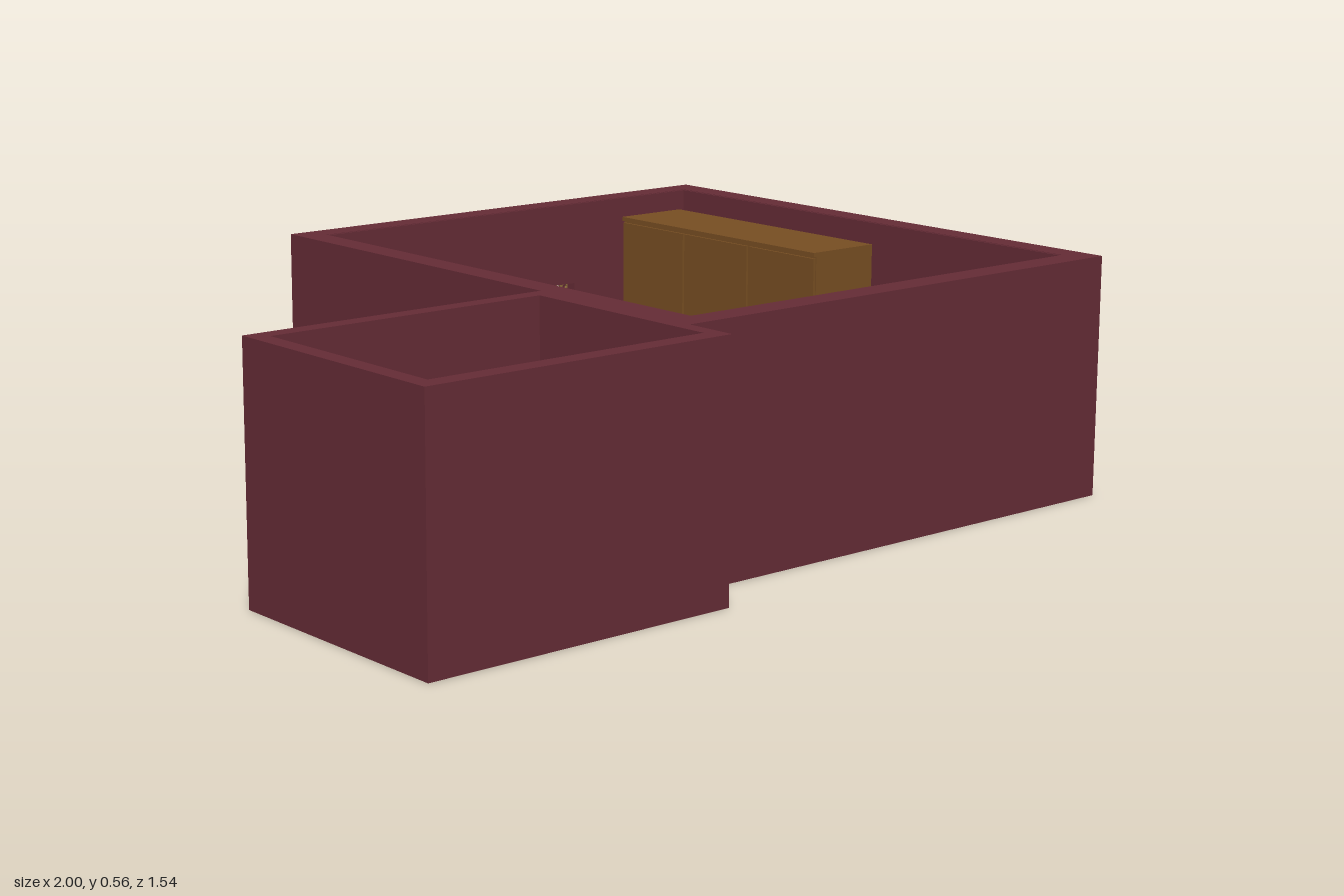
import * as THREE from 'three';

const mat = (color) => new THREE.MeshStandardMaterial({ color });
const M = {
  wall: mat(0x642b35), base: mat(0x2c1c1f), plank: mat(0x75390f), gap: mat(0x2e1706),
  wood: mat(0x764d22), darkWood: mat(0x442c14), chair: mat(0x6a3310), rug: mat(0x686868),
  bed: mat(0x7c7f48), tile: mat(0x0d0d0d), white: mat(0xb4b4b4), mat: mat(0x79735f),
  metal: mat(0x444444), cloth: mat(0x8a4fd0), lattice: mat(0x8a6a3a), cup: mat(0x999999),
};
const H = 0.56, DOOR = [0.35, 0.56], DOOR_H = 0.36;

// Box given by its min and max along each axis
function box(parent, name, m, x0, x1, y0, y1, z0, z1) {
  const b = new THREE.Mesh(new THREE.BoxGeometry(x1 - x0, y1 - y0, z1 - z0), m);
  b.position.set((x0 + x1) / 2, (y0 + y1) / 2, (z0 + z1) / 2);
  b.name = name;
  parent.add(b);
  return b;
}

function group(parent, name) {
  const g = new THREE.Group();
  g.name = name;
  parent.add(g);
  return g;
}

const poly = (pts) => new THREE.Shape(pts.map(([x, y]) => new THREE.Vector2(x, y)));
const rect = (x0, y0, x1, y1) => poly([[x0, y0], [x1, y0], [x1, y1], [x0, y1]]);

function extrude(parent, name, m, shape, depth) {
  const mesh = new THREE.Mesh(new THREE.ExtrudeGeometry(shape, { depth, bevelEnabled: false, curveSegments: 6 }), m);
  mesh.name = name;
  parent.add(mesh);
  return mesh;
}

// Wall running along x, with an optional window [x0, y0, x1, y1]
function wallX(parent, name, x0, x1, z0, z1, win) {
  const s = rect(x0, 0, x1, H);
  if (win) s.holes.push(rect(...win));
  extrude(parent, name, M.wall, s, z1 - z0).position.z = z0;
}

// Wall running along z, with an optional doorway
function wallZ(parent, name, x0, x1, z0, z1, door) {
  const [a, b] = DOOR;
  const s = poly(door
    ? [[z0, 0], [a, 0], [a, DOOR_H], [b, DOOR_H], [b, 0], [z1, 0], [z1, H], [z0, H]]
    : [[z0, 0], [z1, 0], [z1, H], [z0, H]]);
  const w = extrude(parent, name, M.wall, s, x1 - x0);
  w.rotation.y = -Math.PI / 2;
  w.position.x = x1;
}

// Chest with notched side panels and a stack of drawers; dir is the z side of the fronts
function chest(parent, name, x0, x1, z0, z1, h, dir) {
  const g = group(parent, name), t = 0.01, n = 3, foot = 0.03;
  const side = poly([[z0, 0], [z0 + 0.015, 0], [z0 + 0.03, foot], [z1 - 0.03, foot],
    [z1 - 0.015, 0], [z1, 0], [z1, h - t], [z0, h - t]]);
  for (const x of [x0 + t, x1]) {
    const p = extrude(g, 'sidePanel', M.wood, side, t);
    p.rotation.y = -Math.PI / 2;
    p.position.x = x;
  }
  box(g, 'top', M.wood, x0, x1, h - t, h, z0, z1);
  box(g, 'carcass', M.darkWood, x0 + t, x1 - t, foot, h - t, z0 + 0.012, z1 - 0.012);
  const step = (h - t - foot) / n, zf = dir > 0 ? z1 - 0.012 : z0 + 0.012;
  for (let i = 0; i < n; i++) {
    const y = foot + i * step;
    box(g, 'drawerFront', M.wood, x0 + t, x1 - t, y + 0.003, y + step - 0.009, Math.min(zf, zf + dir * 0.01), Math.max(zf, zf + dir * 0.01));
    const knob = new THREE.Mesh(new THREE.SphereGeometry(0.005, 8, 6), M.darkWood);
    knob.position.set((x0 + x1) / 2, y + step / 2, zf + dir * 0.012);
    knob.name = 'drawerKnob';
    g.add(knob);
  }
}

function addWalls(root) {
  const g = group(root, 'walls');
  wallX(g, 'bedroomBackWall', -0.25, 1, -0.775, -0.715, [0.24, 0.125, 0.57, 0.355]);
  wallX(g, 'bedroomFrontWall', -0.25, 1, 0.58, 0.645);
  wallZ(g, 'entranceWall', 0.94, 1, -0.715, 0.58, true);
  wallZ(g, 'bedroomSideWall', -0.25, -0.19, -0.715, 0.58, true);
  wallX(g, 'bathroomBackWall', -1, -0.25, 0.17, 0.21);
  wallX(g, 'bathroomFrontWall', -1, -0.25, 0.725, 0.77);
  wallZ(g, 'bathroomOuterWall', -1, -0.96, 0.21, 0.725);
  wallZ(g, 'bathroomDoorWall', -0.285, -0.25, 0.21, 0.725, true);
  // Dark skirting at the foot and a raised band at the head of the bedroom walls
  const t = 0.005;
  for (const [name, m, y0, y1, zEnd] of [['skirting', M.base, 0.01, 0.12, 0.35], ['topBand', M.wall, 0.5, H - 0.001, 0.58]]) {
    box(g, name, m, -0.19, 0.94, y0, y1, -0.715, -0.715 + t);
    box(g, name, m, -0.19, 0.94, y0, y1, 0.58 - t, 0.58);
    box(g, name, m, -0.19, -0.19 + t, y0, y1, -0.71, zEnd);
    box(g, name, m, 0.94 - t, 0.94, y0, y1, -0.71, zEnd);
  }
  // Lattice screen in the window
  const s = rect(0.24, 0.135, 0.57, 0.355), nx = 16, ny = 10, cx = 0.33 / nx, cy = 0.22 / ny;
  for (let i = 0; i < nx; i++) for (let j = 0; j < ny; j++) {
    const x = 0.24 + (i + 0.5) * cx, y = 0.135 + (j + 0.5) * cy, r = 0.008;
    s.holes.push(poly([[x - r, y], [x, y - r], [x + r, y], [x, y + r]]));
  }
  extrude(g, 'windowLattice', M.lattice, s, 0.006).position.z = -0.748;
}

function addFloors(root) {
  const g = group(root, 'floors');
  box(g, 'subfloor', M.gap, -0.19, 0.94, 0.004, 0.007, -0.715, 0.58);
  // Staggered planks along x
  const n = 25, w = 1.295 / n;
  for (let i = 0; i < n; i++) {
    const z = -0.715 + i * w, split = -0.19 + 1.13 * (0.3 + 0.4 * ((i * 0.37) % 1));
    for (const [a, b] of [[-0.19, split - 0.002], [split + 0.002, 0.94]])
      box(g, 'plank', M.plank, a, b, 0.002, 0.009, z + 0.0015, z + w - 0.0015);
  }
  box(g, 'bathroomFloor', M.tile, -0.96, -0.285, 0.002, 0.009, 0.21, 0.725);
  box(g, 'bedroomRug', M.rug, 0.125, 0.63, 0.001, 0.014, -0.54, 0.27);
  box(g, 'bathMat', M.mat, -0.7, -0.37, 0.001, 0.014, 0.365, 0.56);
}

function addBedroom(root) {
  const g = group(root, 'bedroomFurniture');
  // Bed with one top corner sagging
  const bed = box(g, 'bed', M.bed, -0.185, 0.08, 0.009, 0.125, -0.695, -0.165);
  const p = bed.geometry.attributes.position;
  for (let i = 0; i < p.count; i++)
    if (p.getX(i) > 0 && p.getY(i) > 0 && p.getZ(i) > 0) p.setY(i, p.getY(i) - 0.04);
  bed.geometry = bed.geometry.toNonIndexed();
  bed.geometry.computeVertexNormals();

  box(g, 'upperShelf', M.wood, -0.19, -0.16, 0.38, 0.395, -0.535, -0.24);
  box(g, 'lowerShelf', M.wood, -0.19, -0.16, 0.29, 0.305, -0.23, 0.06);

  chest(g, 'nightstand', 0.1, 0.25, -0.7, -0.605, 0.15, 1);
  const cup = new THREE.Mesh(new THREE.CylinderGeometry(0.017, 0.013, 0.035, 16), M.cup);
  cup.position.set(0.135, 0.1675, -0.68);
  cup.name = 'cup';
  g.add(cup);

  chest(g, 'dresser', 0.225, 0.525, 0.43, 0.57, 0.155, -1);
  // Shirt laid on the dresser, mirrored about its middle
  const half = [[0.04, 0.45], [0.035, 0.51], [0.062, 0.535], [0.067, 0.555], [0.035, 0.57], [0.015, 0.57]];
  const shirt = extrude(g, 'shirt', M.cloth,
    poly([...half, [0, 0.56], ...half.map(([x, z]) => [-x, z]).reverse()]), 0.008);
  shirt.rotation.x = Math.PI / 2;
  shirt.position.set(0.377, 0.163, 0);

  // Wardrobe with three doors facing the room
  const w = group(g, 'wardrobe');
  box(w, 'wardrobeBody', M.wood, 0.733, 0.92, 0.009, 0.5, -0.71, -0.005);
  box(w, 'wardrobeTop', M.wood, 0.725, 0.92, 0.5, 0.51, -0.71, -0.005);
  for (let i = 0; i < 3; i++) {
    const z = -0.71 + i * 0.235;
    box(w, 'wardrobeDoor', M.wood, 0.727, 0.733, 0.03, 0.495, z + 0.003, z + 0.232);
    box(w, 'doorHandle', M.metal, 0.719, 0.727, 0.23, 0.28, z + 0.205, z + 0.212);
  }

  // Small chair beside the wardrobe
  const c = group(g, 'chair');
  box(c, 'seat', M.chair, 0.785, 0.87, 0.11, 0.122, 0.015, 0.095);
  box(c, 'backrest', M.chair, 0.785, 0.87, 0.17, 0.23, 0.015, 0.025);
  for (const x of [0.785, 0.86]) {
    box(c, 'frontLeg', M.chair, x, x + 0.01, 0.009, 0.11, 0.085, 0.095);
    box(c, 'backLeg', M.chair, x, x + 0.01, 0.009, 0.23, 0.015, 0.025);
  }
}

function addBathroom(root) {
  const g = group(root, 'bathroomFixtures');
  // Bathtub: rounded well cut from a block, with a sloped end
  const t = group(g, 'bathtub');
  const rim = rect(-0.958, 0.22, -0.758, 0.724), a = -0.945, b = -0.771, c = 0.245, d = 0.695, r = 0.03;
  const well = new THREE.Path();
  well.moveTo(a + r, c).lineTo(b - r, c).quadraticCurveTo(b, c, b, c + r).lineTo(b, d - r)
    .quadraticCurveTo(b, d, b - r, d).lineTo(a + r, d).quadraticCurveTo(a, d, a, d - r)
    .lineTo(a, c + r).quadraticCurveTo(a, c, a + r, c);
  rim.holes.push(well);
  const shell = extrude(t, 'tubShell', M.white, rim, 0.119);
  shell.rotation.x = Math.PI / 2;
  shell.position.y = 0.12;
  box(t, 'tubFloor', M.white, -0.95, -0.765, 0.0015, 0.03, 0.24, 0.71);
  const slope = box(t, 'tubBackrest', M.white, -0.94, -0.776, 0.025, 0.115, 0.252, 0.262);
  slope.rotation.x = -0.35;

  const w = group(g, 'toilet');
  box(w, 'tank', M.white, -0.625, -0.53, 0.08, 0.16, 0.212, 0.25);
  box(w, 'seat', M.white, -0.625, -0.53, 0.08, 0.09, 0.25, 0.36);
  const bowl = box(w, 'bowl', M.white, -0.62, -0.535, 0.009, 0.08, 0.212, 0.355);
  const p = bowl.geometry.attributes.position;
  for (let i = 0; i < p.count; i++) if (p.getY(i) < 0) {
    p.setX(i, p.getX(i) * 0.6);
    if (p.getZ(i) > 0) p.setZ(i, p.getZ(i) - 0.04);
  }
  bowl.geometry.computeVertexNormals();

  // Vanity with a sunken basin and a tap
  const v = group(g, 'vanity');
  box(v, 'cabinet', M.white, -0.695, -0.445, 0.009, 0.16, 0.61, 0.724);
  const top = rect(-0.7, 0.605, -0.44, 0.725);
  top.holes.push(rect(-0.62, 0.625, -0.515, 0.7));
  const counter = extrude(v, 'counter', M.white, top, 0.025);
  counter.rotation.x = Math.PI / 2;
  counter.position.y = 0.185;
  box(v, 'tapSpout', M.metal, -0.57, -0.564, 0.205, 0.211, 0.67, 0.715);
  box(v, 'tapStem', M.metal, -0.57, -0.564, 0.185, 0.205, 0.709, 0.715);
  for (const x of [-0.595, -0.545]) box(v, 'tapHandle', M.metal, x, x + 0.006, 0.185, 0.197, 0.709, 0.715);
}

export function createModel() {
  const root = new THREE.Group();
  root.name = 'bedroomAndBathroom';
  addWalls(root);
  addFloors(root);
  addBedroom(root);
  addBathroom(root);
  return root;
}
